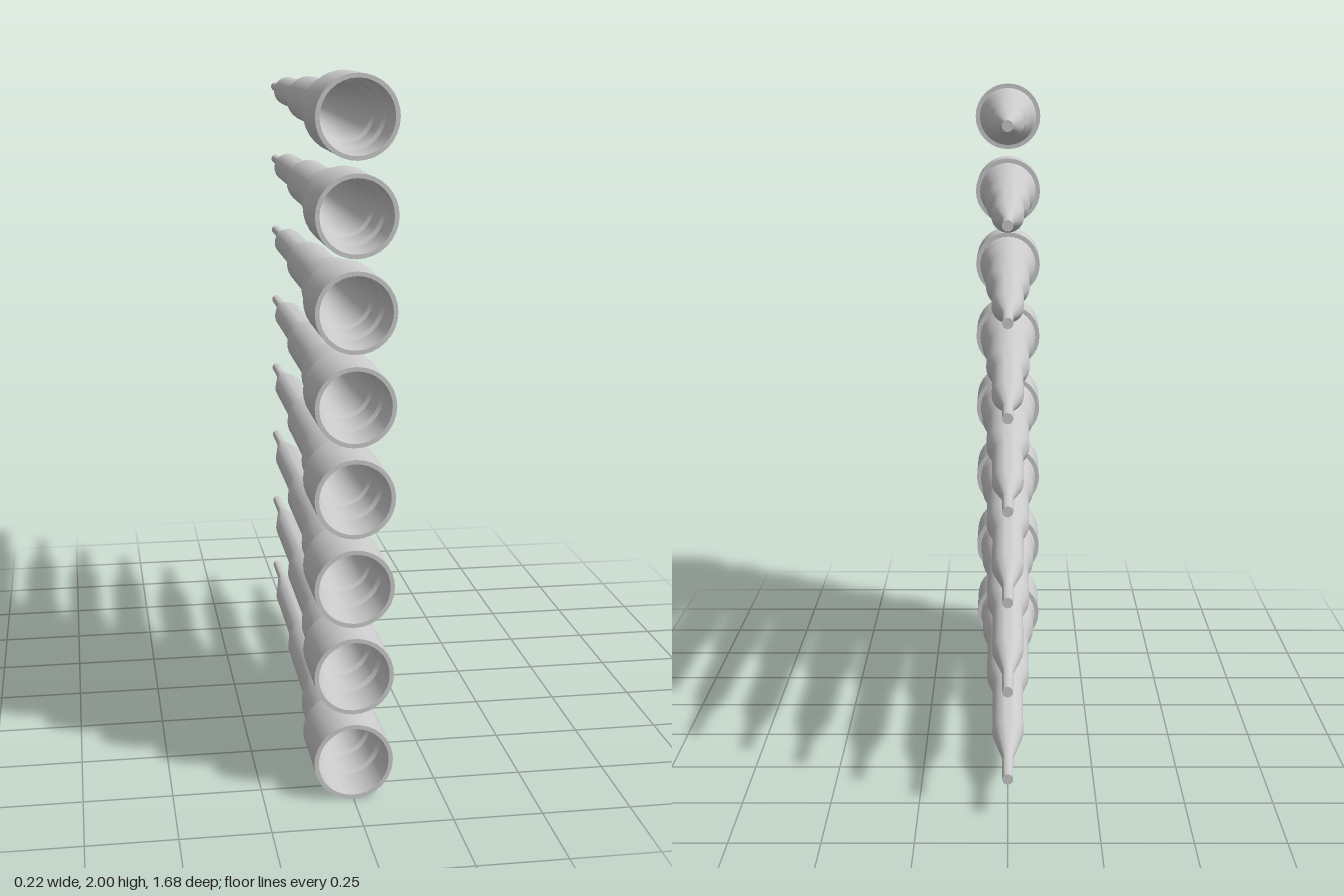
import * as THREE from 'three';
import { toCreasedNormals } from 'three/addons/utils/BufferGeometryUtils.js';

const COUNT = 8;
const RADIUS = 0.111;
const PITCH = (2 - 2 * RADIUS) / (COUNT - 1);

// Closed [radius, z] profile: up the outside, over the lip, down the bore
const PROFILE = [
  // stepped outer wall, from narrow tip to collar
  [0, -0.84], [0.015, -0.84], [0.016, -0.69], [0.046, -0.51], [0.048, -0.15],
  [0.068, -0.03], [0.07, 0.32], [0.088, 0.43], [0.091, 0.58], [0.096, 0.59],
  [0.096, 0.62], [RADIUS, 0.62], [RADIUS, 0.84],
  // stepped socket and tapering bore
  [0.099, 0.84], [0.097, 0.72], [0.087, 0.71], [0.085, 0.62], [0.076, 0.61],
  [0.074, 0.45], [0, -0.82],
];

export function createModel() {
  const group = new THREE.Group();
  group.name = 'pipetteTipRow';

  const lathe = new THREE.LatheGeometry(PROFILE.map(([r, z]) => new THREE.Vector2(r, z)), 32);
  lathe.rotateX(Math.PI / 2); // lay the axis along z, mouth to the front
  const geometry = toCreasedNormals(lathe, 0.4);
  const material = new THREE.MeshStandardMaterial({ color: 0xcccccc });

  // Vertical stack of identical tips
  for (let i = 0; i < COUNT; i++) {
    const tip = new THREE.Mesh(geometry, material);
    tip.name = `pipetteTip${i + 1}`;
    tip.position.y = RADIUS + i * PITCH;
    group.add(tip);
  }
  return group;
}
